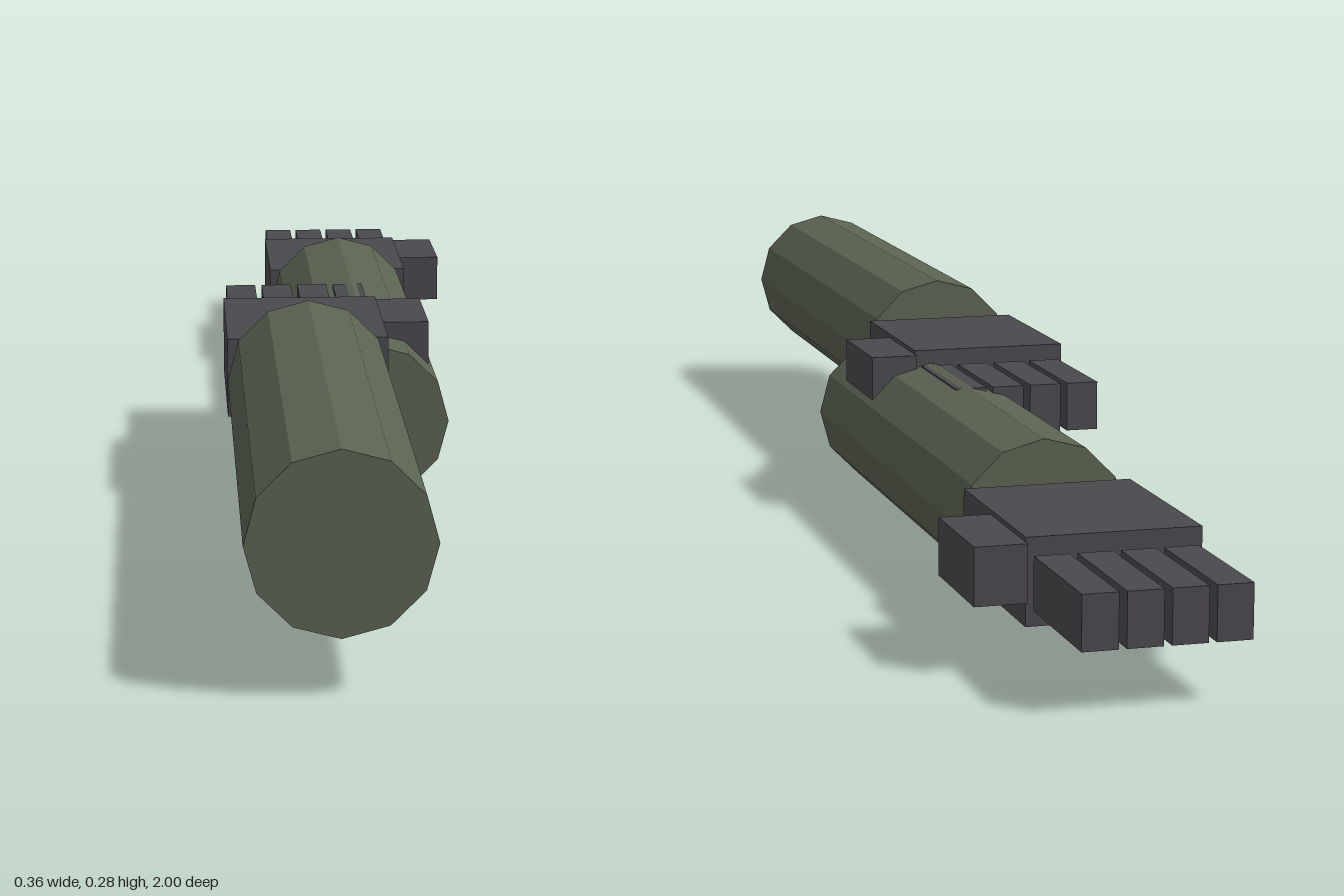
import * as THREE from 'three';

const sleeve = new THREE.MeshStandardMaterial({ color: 0x5b6352, flatShading: true });
sleeve.name = 'olive sleeve';
const glove = new THREE.MeshStandardMaterial({ color: 0x4a484d, flatShading: true });
glove.name = 'dark glove';

function addBox(parent, name, size, position) {
  const mesh = new THREE.Mesh(new THREE.BoxGeometry(...size), glove);
  mesh.name = name;
  mesh.position.set(...position);
  parent.add(mesh);
}

// One forearm and hand pointing to -z; its origin is the middle of the forearm
function makeArm(name) {
  const arm = new THREE.Group();
  arm.name = name;

  const forearm = new THREE.Mesh(
    new THREE.CylinderGeometry(0.105, 0.105, 0.75, 12).rotateX(Math.PI / 2), sleeve);
  forearm.name = 'forearm';
  arm.add(forearm);

  addBox(arm, 'palm', [0.21, 0.104, 0.256], [0, 0, -0.516]);
  addBox(arm, 'thumb', [0.063, 0.069, 0.15], [0.136, 0.012, -0.577]);

  // Four fingers side by side
  for (let i = 0; i < 4; i++) {
    addBox(arm, `finger${i + 1}`, [0.042, 0.064, 0.175], [(i - 1.5) * 0.0513, 0, -0.7395]);
  }
  return arm;
}

export function createModel() {
  const model = new THREE.Group();
  model.name = 'arms';

  const rearArm = makeArm('rearArm');
  rearArm.position.set(-0.073, 0.177, 0.625);
  const leadArm = makeArm('leadArm');
  leadArm.position.set(0.01, 0.106, -0.173);

  model.add(rearArm, leadArm);
  return model;
}
